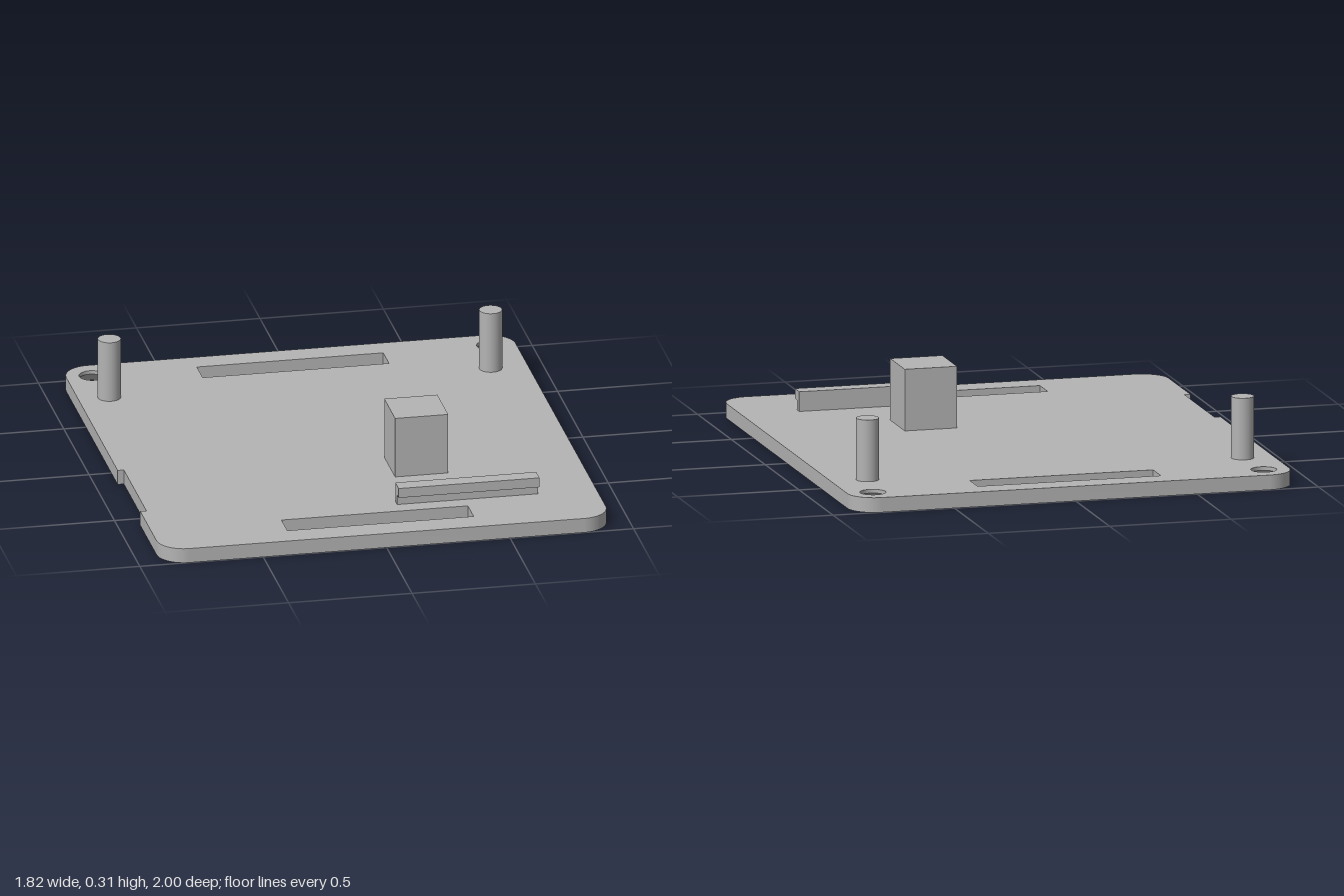
import * as THREE from 'three';
import { mergeGeometries, toCreasedNormals } from 'three/addons/utils/BufferGeometryUtils.js';

const W = 0.91, D = 1, T = 0.06, R = 0.11;      // plate half width, half depth, thickness, corner radius
const HOLE = 0.052, SINK = 0.1, HOLE_X = 0.805, HOLE_Z = -0.89;
const SLOTS = [[-0.895, -0.78], [0.775, 0.89]]; // z ranges

// Plate outline drawn with shape y = -z, including the notch in the right edge
function plateShape(holeRadius) {
  const s = new THREE.Shape();
  s.moveTo(-W + R, -D);
  s.lineTo(W - R, -D);
  s.absarc(W - R, -D + R, R, -Math.PI / 2, 0);
  s.lineTo(W, D - R);
  s.absarc(W - R, D - R, R, 0, Math.PI / 2);
  s.lineTo(-W + R, D);
  s.absarc(-W + R, D - R, R, Math.PI / 2, Math.PI);
  s.lineTo(-W, -0.125);
  s.lineTo(-W + 0.025, -0.125);
  s.lineTo(-W + 0.025, -0.57);
  s.lineTo(-W, -0.57);
  s.lineTo(-W, -D + R);
  s.absarc(-W + R, -D + R, R, Math.PI, Math.PI * 1.5);
  for (const [z0, z1] of SLOTS) {
    s.holes.push(new THREE.Path([[-0.38, -z0], [-0.38, -z1], [0.375, -z1], [0.375, -z0]]
      .map(([x, y]) => new THREE.Vector2(x, y))));
  }
  if (holeRadius) {
    for (const side of [-1, 1]) {
      s.holes.push(new THREE.Path().absarc(side * HOLE_X, -HOLE_Z, holeRadius, 0, Math.PI * 2, true));
    }
  }
  return s;
}

// Flat face of the plate, optionally turned to face down
function cap(holeRadius, y, down) {
  const g = new THREE.ShapeGeometry(plateShape(holeRadius), 16).rotateX(-Math.PI / 2).translate(0, y, 0);
  if (down) {
    g.index.array.reverse();
    g.computeVertexNormals();
  }
  return g.toNonIndexed();
}

// Edge and slot walls only, without the end faces
function walls() {
  const e = new THREE.ExtrudeGeometry(plateShape(0), { depth: T, bevelEnabled: false, curveSegments: 16 });
  const { start, count } = e.groups[1];
  const g = new THREE.BufferGeometry();
  for (const name of ['position', 'normal', 'uv']) {
    const a = e.attributes[name], n = a.itemSize;
    g.setAttribute(name, new THREE.BufferAttribute(a.array.slice(start * n, (start + count) * n), n));
  }
  return toCreasedNormals(g.rotateX(-Math.PI / 2), 0.5);
}

export function createModel() {
  const group = new THREE.Group();
  const grey = new THREE.MeshStandardMaterial({ color: 0xb4b4b4 });
  const add = (name, geometry, x = 0, y = 0, z = 0) => {
    const m = new THREE.Mesh(geometry, grey);
    m.name = name;
    m.position.set(x, y, z);
    group.add(m);
  };

  // Base plate: small holes on top, countersunk below
  add('basePlate', mergeGeometries([cap(HOLE, T, false), cap(SINK, 0, true), walls()]));

  // Linings of the countersunk screw holes, facing inward
  const bore = [[HOLE, T], [HOLE, 0.045], [SINK, 0]].map(([r, y]) => new THREE.Vector2(r, y));
  for (const side of [-1, 1]) {
    const lining = toCreasedNormals(new THREE.LatheGeometry(bore, 32), 0.5);
    add(side < 0 ? 'rightScrewHole' : 'leftScrewHole', lining, side * HOLE_X, 0, HOLE_Z);
  }

  // Round pegs at the back
  const peg = new THREE.CylinderGeometry(0.046, 0.046, 0.25, 32);
  add('rightPeg', peg, -0.785, T + 0.125, -0.65);
  add('leftPeg', peg, 0.76, T + 0.125, -0.65);

  // Square support block
  add('supportBlock', new THREE.BoxGeometry(0.215, 0.25, 0.215), 0.262, T + 0.125, 0.307);

  // Hooked retaining rail, lip toward the front (profile x = -z)
  const hook = new THREE.Shape([[-0.67, T], [-0.67, 0.14], [-0.735, 0.14], [-0.735, 0.1], [-0.705, 0.1], [-0.705, T]]
    .map(([x, y]) => new THREE.Vector2(x, y)));
  const rail = new THREE.ExtrudeGeometry(hook, { depth: 0.57, bevelEnabled: false }).rotateY(Math.PI / 2);
  add('retainingRail', rail, 0.103, 0, 0);

  return group;
}
